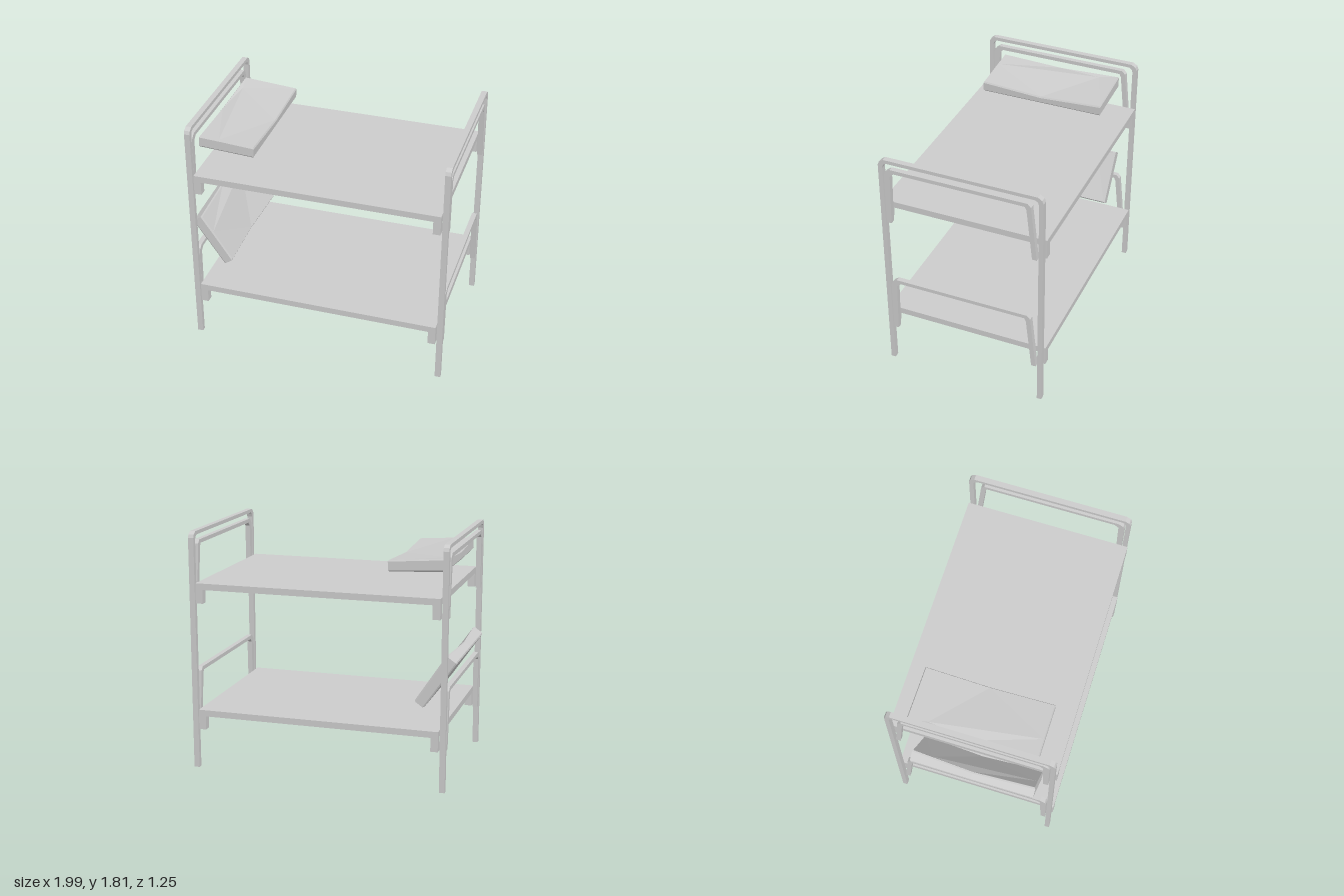
import * as THREE from 'three';

const metal = new THREE.MeshStandardMaterial({ color: 0xcccccc });
metal.name = 'light grey';

function mesh(name, geometry) {
  const m = new THREE.Mesh(geometry, metal);
  m.name = name;
  return m;
}

function box(name, w, h, d, x, y, z) {
  const m = mesh(name, new THREE.BoxGeometry(w, h, d));
  m.position.set(x, y, z);
  return m;
}

// Flat hoop drawn as a (z, y) outline and given thickness along x
function hoop(name, outline, x, y = 0, depth = 0.042) {
  const shape = new THREE.Shape(outline.map(([z, h]) => new THREE.Vector2(z, h)));
  const g = new THREE.ExtrudeGeometry(shape, { depth, bevelEnabled: false });
  g.translate(0, 0, -depth / 2).rotateY(-Math.PI / 2);
  const m = mesh(name, g);
  m.position.set(x, y, 0);
  return m;
}

// Tall end frame with chamfered corners
const frameHalf = [[0.618, 0], [0.616, 1.765], [0.605, 1.79], [0.575, 1.81]];
const frameInner = [[0.553, 1.783], [0.575, 1.77], [0.583, 1.745], [0.583, 0]];
const mirror = pts => pts.map(([z, y]) => [-z, y]).reverse();
const frameOutline = [...frameHalf, ...mirror(frameHalf),
  ...mirror(frameInner), ...frameInner].reverse();
// outline order: outer +z leg, top, outer -z leg, inner -z leg, inner top, inner +z leg
frameOutline.splice(0, frameOutline.length,
  ...frameHalf, ...mirror(frameHalf),
  ...frameInner.map(([z, y]) => [-z, y]).reverse(), ...frameInner);

// Low guard hoop, measured from the foot of its legs
const guardOutline = [
  [0.576, 0], [0.575, 0.4], [0.565, 0.43], [0.53, 0.457],
  [-0.5, 0.457], [-0.525, 0.43], [-0.57, 0],
  [-0.535, 0], [-0.492, 0.4], [-0.48, 0.428],
  [0.5, 0.428], [0.53, 0.4], [0.54, 0],
];

// Sagging faceted cushion: u runs front, v is thickness
function cushion(name, x, y, angle) {
  const rim = [ // u, thickness, z
    [0, 0.095, -0.48], [-0.008, 0.068, 0], [0, 0.09, 0.48], [0.15, 0.09, 0.48],
    [0.423, 0.086, 0.48], [0.423, 0.058, 0], [0.423, 0.086, -0.48],
  ];
  const n = rim.length, pos = [], idx = [];
  const inset = ([u, , z], s) => [0.21 + (u - 0.21) * (1 - s / 0.21), z * (1 - s / 0.48)];
  for (const [s, level] of [[0.008, 0], [0, 0.01], [0, -0.012], [0.007, -0.001]]) {
    for (const p of rim) {
      const [u, z] = inset(p, s);
      pos.push(u, level < 0 ? p[1] + level : level, z);
    }
  }
  for (let r = 0; r < 3; r++) {
    for (let i = 0; i < n; i++) {
      const a = r * n + i, b = r * n + (i + 1) % n;
      idx.push(a, b, b + n, a, b + n, a + n);
    }
  }
  // creased top, fanned from one low point near the back
  const t = 3 * n, apex = 4 * n;
  pos.push(0.035, 0.078, -0.33);
  for (const [i, j] of [[0, 1], [1, 3], [3, 5], [5, 6], [6, 0]]) idx.push(apex, t + i, t + j);
  idx.push(t + 1, t + 2, t + 3, t + 3, t + 4, t + 5);
  // flat underside
  for (let i = 1; i < n - 1; i++) idx.push(0, i + 1, i);
  const g = new THREE.BufferGeometry();
  g.setAttribute('position', new THREE.Float32BufferAttribute(pos, 3));
  g.setIndex(idx);
  const flat = g.toNonIndexed();
  flat.computeVertexNormals();
  const m = mesh(name, flat);
  m.position.set(x, y, 0);
  m.rotation.z = THREE.MathUtils.degToRad(angle);
  return m;
}

export function createModel() {
  const group = new THREE.Group();
  group.name = 'bunkBed';

  // End frames
  const ends = [['right', -0.933], ['left', 0.976]];
  for (const [side, x] of ends) group.add(hoop(side + 'EndFrame', frameOutline, x));

  // Two decks, each with corner feet and a guard hoop at both ends
  for (const [level, foot] of [['lower', 0.308], ['upper', 1.28]]) {
    const deck = new THREE.Group();
    deck.name = level + 'Bunk';
    deck.add(box('deckBoard', 1.845, 0.048, 1.25, 0.0225, foot + 0.128, 0));
    for (const x of [-0.8725, 0.9175]) {
      for (const z of [-0.597, 0.597]) {
        deck.add(box('deckFoot', 0.055, 0.106, 0.056, x, foot + 0.053, z));
      }
    }
    for (const [side, x] of ends) {
      deck.add(hoop(side + 'Guard', guardOutline, x, foot, 0.038));
    }
    group.add(deck);
  }

  // Cushions: one nearly flat, one leaning on the end
  group.add(cushion('upperPillow', -0.905, 1.596, -3.2));
  group.add(cushion('lowerPillow', -0.995, 0.932, -55.5));
  return group;
}
